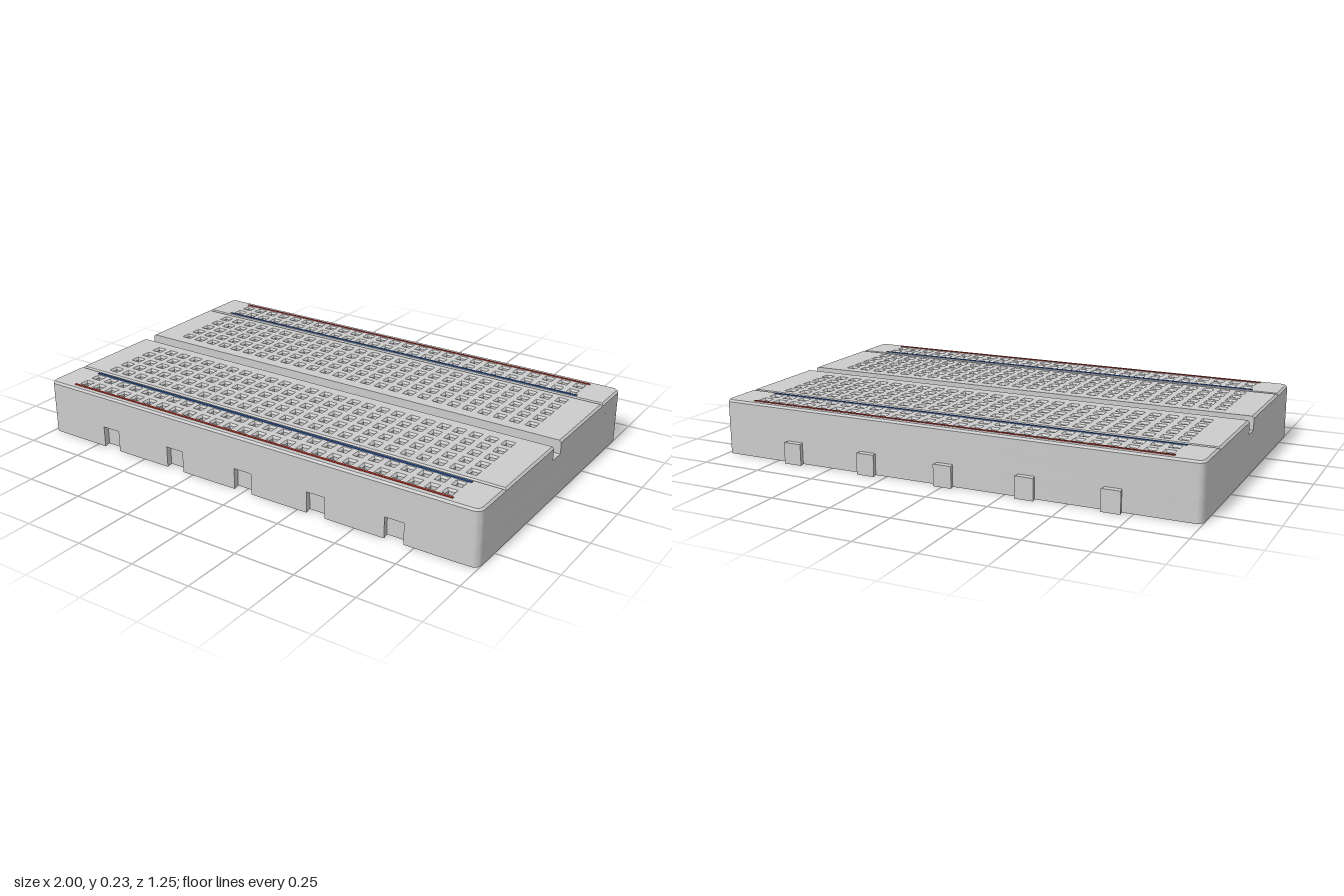
import * as THREE from 'three';
import { toCreasedNormals } from 'three/addons/utils/BufferGeometryUtils.js';

const MID = 0.01;            // z of the board's centre line
const BACK = -0.605, FRONT = 0.625;
const PITCH = 0.068, COLUMNS = 26;
const FLOOR = 0.17, TOP = 0.225, LATCH_TOP = 0.087;
const BEVEL = 0.008, HOLE = 0.013, CORNER = 0.03;
const latchX = [-2, -1, 0, 1, 2].map(i => i * 0.335 - 0.003);

const grey = new THREE.MeshStandardMaterial({ color: 0xcccccc });
const red = new THREE.MeshStandardMaterial({ color: 0xc0392b });
const blue = new THREE.MeshStandardMaterial({ color: 0x2f5fb0 });

function mesh(name, geometry, material = grey) {
  const m = new THREE.Mesh(geometry, material);
  m.name = name;
  return m;
}

// Plan outline (shape y = -z) with optional rounded back / front corners and front slots
function outline(z0, z1, rBack, rFront, slots = []) {
  const pts = [];
  const corner = (sx, z, sz, r, start) => {
    if (!r) { pts.push(new THREE.Vector2(sx, -z)); return; }
    for (let i = 0; i <= 6; i++) {
      const a = start + (i / 6) * Math.PI / 2;
      pts.push(new THREE.Vector2(sx * (1 - r) + r * Math.cos(a), -(z - sz * r) + r * Math.sin(a)));
    }
  };
  corner(-1, z1, 1, rFront, Math.PI);
  for (const x of slots) {
    for (const [dx, dy] of [[-0.04, 0], [-0.046, 0.03], [0.046, 0.03], [0.04, 0]]) {
      pts.push(new THREE.Vector2(x + dx, -z1 + dy));
    }
  }
  corner(1, z1, 1, rFront, Math.PI * 1.5);
  corner(1, z0, -1, rBack, 0);
  corner(-1, z0, -1, rBack, Math.PI / 2);
  return new THREE.Shape(pts);
}

// Upright extrusion from y0 to y1
function slab(shape, y0, y1, bevel = 0) {
  const g = new THREE.ExtrudeGeometry(shape, {
    depth: y1 - y0 - 2 * bevel,
    bevelEnabled: bevel > 0, bevelSegments: 1,
    bevelThickness: bevel, bevelSize: bevel, bevelOffset: -bevel,
  });
  g.rotateX(-Math.PI / 2);
  g.translate(0, y0 + bevel, 0);
  return g;
}

// Top panel with a grid of square holes; the bevel forms the funnels and the edge chamfer
function panel(name, z0, z1, rBack, rFront, rows, sharpZ) {
  const shape = outline(z0, z1, rBack, rFront);
  for (const z of rows) {
    for (let c = 0; c < COLUMNS; c++) {
      const x = (c - (COLUMNS - 1) / 2) * PITCH - 0.003;
      shape.holes.push(new THREE.Path([[-1, -1], [-1, 1], [1, 1], [1, -1]].map(
        ([sx, sy]) => new THREE.Vector2(x + sx * HOLE, -z + sy * HOLE))));
    }
  }
  const g = slab(shape, FLOOR - BEVEL, TOP, BEVEL);
  // Keep the edge along the central trench square
  if (sharpZ !== undefined) {
    const p = g.attributes.position;
    for (let i = 0; i < p.count; i++) {
      if (Math.abs(p.getZ(i) - sharpZ) < BEVEL + 0.001) p.setZ(i, sharpZ);
    }
  }
  return mesh(name, toCreasedNormals(g, 0.5));
}

export function createModel() {
  const board = new THREE.Group();
  board.name = 'prototypingBoard';

  // Base: slotted lower layer and plain upper layer up to the trench floor
  board.add(mesh('slottedBase', toCreasedNormals(
    slab(outline(BACK, FRONT, CORNER, CORNER, latchX), 0, LATCH_TOP), 0.5)));
  board.add(mesh('upperBase', toCreasedNormals(
    slab(outline(BACK, FRONT, CORNER, CORNER), LATCH_TOP, FLOOR), 0.5)));

  // Terminal panels either side of the trench, power rails outside them
  const terminal = [0, 1, 2, 3, 4].map(i => 0.102 + i * PITCH);
  const rail = [0.481, 0.549];
  const front = list => list.map(d => MID + d);
  const back = list => list.map(d => MID - d);
  board.add(panel('frontTerminalPanel', 0.045, 0.437, 0, 0, front(terminal), 0.045));
  board.add(panel('backTerminalPanel', -0.42, -0.02, 0, 0, back(terminal), -0.02));
  board.add(panel('frontPowerRail', 0.437, FRONT, 0, CORNER, front(rail)));
  board.add(panel('backPowerRail', BACK, -0.42, CORNER, 0, back(rail)));

  // Coloured stripes along the rails
  for (const side of [-1, 1]) {
    for (const [name, d, material] of [['redStripe', 0.585, red], ['blueStripe', 0.449, blue]]) {
      const stripe = mesh(name, new THREE.BoxGeometry(1.765, 0.006, 0.009), material);
      stripe.position.set(-0.003, TOP, MID + side * d);
      board.add(stripe);
    }
  }

  // Dovetail latches on the back, flaring outward
  const latchShape = new THREE.Shape([[-0.031, 0.6], [0.031, 0.6], [0.038, 0.63], [-0.038, 0.63]]
    .map(([x, y]) => new THREE.Vector2(x, y)));
  const latchGeometry = slab(latchShape, 0, LATCH_TOP);
  for (const x of latchX) {
    const latch = mesh('latch', latchGeometry);
    latch.position.x = x;
    board.add(latch);
  }
  return board;
}
